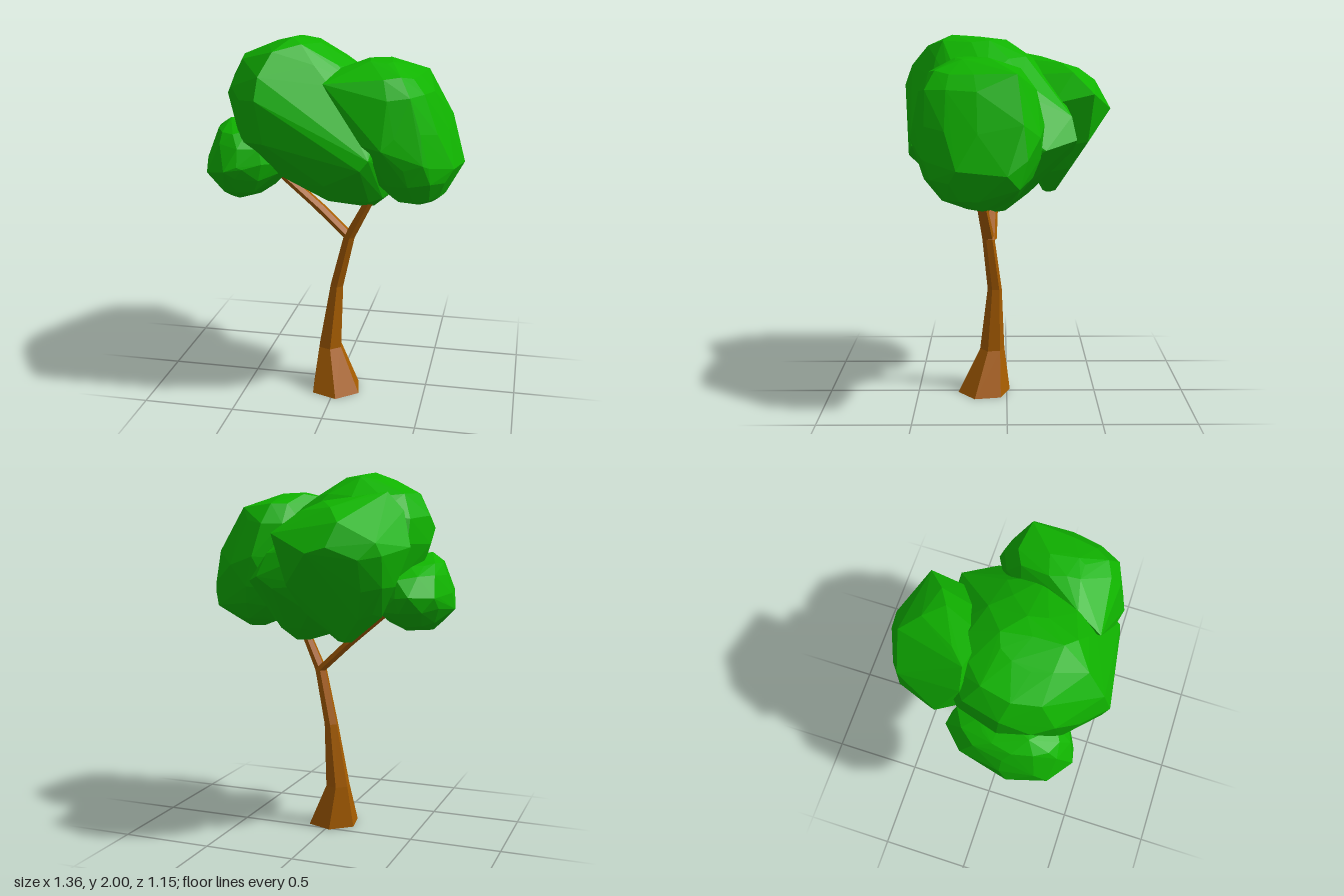
import * as THREE from 'three';
import { ConvexGeometry } from 'three/addons/geometries/ConvexGeometry.js';

const leaf = new THREE.MeshStandardMaterial({ color: 0x10b400, flatShading: true });
const bark = new THREE.MeshStandardMaterial({ color: 0xa65c00, flatShading: true, side: THREE.DoubleSide });

// Small seeded generator for the uneven facets
function seeded(seed) {
  return () => {
    seed = (seed * 16807) % 2147483647;
    return seed / 2147483647;
  };
}

// Faceted leaf clump: convex skin over level rings [y, xMin, xMax, zMin, zMax] and pointed corners [x, y, z]
function clump(name, seed, rings, corners) {
  const rand = seeded(seed), sides = 12;
  const points = corners.map((c) => new THREE.Vector3(...c));
  const bulge = (v) => Math.sign(v) * Math.pow(Math.abs(v), 0.88);
  for (const [y, x0, x1, z0, z1] of rings) {
    for (let i = 0; i < sides; i++) {
      const a = (i / sides) * Math.PI * 2;
      const k = i % 3 ? 1 - rand() * 0.08 : 1;
      points.push(new THREE.Vector3(
        (x0 + x1) / 2 + bulge(Math.cos(a)) * k * (x1 - x0) / 2,
        y + (rand() - 0.5) * 0.03,
        (z0 + z1) / 2 + bulge(Math.sin(a)) * k * (z1 - z0) / 2));
    }
  }
  const mesh = new THREE.Mesh(new ConvexGeometry(points), leaf);
  mesh.name = name;
  return mesh;
}

// Six-sided tapering limb through level rings given as [x, y, z, radius]
function limb(name, rings) {
  const sides = 6, pos = [], index = [];
  rings.forEach(([x, y, z, r], i) => {
    for (let j = 0; j < sides; j++) {
      const a = (j / sides) * Math.PI * 2 + 0.35;
      pos.push(x + Math.cos(a) * r, y, z + Math.sin(a) * r);
      if (i === rings.length - 1) continue;
      const p = i * sides + j, q = i * sides + (j + 1) % sides;
      index.push(p, p + sides, q, q, p + sides, q + sides);
    }
  });
  const geo = new THREE.BufferGeometry();
  geo.setAttribute('position', new THREE.Float32BufferAttribute(pos, 3));
  geo.setIndex(index);
  geo.computeVertexNormals();
  const mesh = new THREE.Mesh(geo, bark);
  mesh.name = name;
  return mesh;
}

export function createModel() {
  const tree = new THREE.Group();
  tree.name = 'tree';

  // Flared trunk that leans into the canopy, and a side branch
  tree.add(limb('trunk', [
    [0.002, 0, 0.128, 0.148], [-0.04, 0.24, 0.082, 0.07], [-0.005, 0.6, 0.067, 0.04],
    [0.07, 0.9, 0.1, 0.034], [0.185, 1.12, 0.135, 0.028], [0.23, 1.22, 0.14, 0.025],
  ]));
  tree.add(limb('branch', [
    [0.07, 0.9, 0.09, 0.036], [-0.1, 1.06, 0.085, 0.038], [-0.3, 1.23, 0.08, 0.036],
  ]));

  // Leaf clumps
  tree.add(clump('mainClump', 11, [
    [1.09, 0.1, 0.2, 0, 0.12],
    [1.16, -0.1, 0.3, -0.12, 0.3],
    [1.26, -0.34, 0.34, -0.25, 0.42],
    [1.43, -0.49, 0.36, -0.32, 0.49],
    [1.62, -0.56, 0.33, -0.32, 0.51],
    [1.77, -0.55, 0.22, -0.26, 0.47],
    [1.88, -0.48, 0.08, -0.15, 0.43],
    [1.96, -0.33, -0.06, 0, 0.38],
  ], [
    [-0.31, 1.72, 0.575], [-0.3, 1.83, 0.535], [-0.25, 1.94, 0.44], [-0.18, 2, 0.3], [-0.18, 1.99, 0.15],
    [0.24, 1.43, 0.5], [0.2, 1.38, 0.515], [-0.28, 1.5, 0.545],
    [-0.54, 1.7, 0.26], [-0.49, 1.75, 0.36], [-0.42, 1.7, 0.46], [-0.45, 1.88, 0.28], [-0.44, 1.47, 0.38],
    [0.25, 1.46, -0.365], [0.17, 1.4, -0.35], [0.2, 1.58, -0.34], [0.37, 1.42, -0.2], [0.17, 1.08, 0.06],
  ]));
  tree.add(clump('leftClump', 23, [
    [1.15, 0.4, 0.52, 0.05, 0.2],
    [1.19, 0.3, 0.59, -0.05, 0.33],
    [1.28, 0.22, 0.63, -0.13, 0.42],
    [1.38, 0.18, 0.63, -0.17, 0.45],
    [1.54, 0.12, 0.6, -0.18, 0.47],
    [1.73, 0.12, 0.52, -0.15, 0.45],
    [1.82, 0.14, 0.45, -0.07, 0.4],
    [1.87, 0.17, 0.33, 0.07, 0.28],
  ], [
    [0, 1.79, 0.435], [0.06, 1.85, 0.3], [0.2, 1.89, 0.2], [0.3, 1.88, 0.12], [0.47, 1.81, -0.05],
    [0.675, 1.33, 0], [0.62, 1.4, -0.1], [0.6, 1.57, -0.08], [0.63, 1.26, -0.06], [0.36, 1.55, -0.19],
    [0.5, 1.5, -0.165], [0.64, 1.35, 0.25], [0.5, 1.4, 0.43], [0.3, 1.48, 0.5], [0.2, 1.5, 0.48],
  ]));
  tree.add(clump('rightClump', 37, [
    [1.16, -0.56, -0.4, 0.05, 0.3],
    [1.2, -0.62, -0.32, -0.05, 0.38],
    [1.28, -0.67, -0.25, -0.15, 0.44],
    [1.36, -0.67, -0.22, -0.18, 0.46],
    [1.45, -0.64, -0.25, -0.15, 0.44],
    [1.52, -0.61, -0.35, -0.02, 0.39],
  ], [
    [-0.68, 1.27, 0.18], [-0.63, 1.35, -0.08], [-0.52, 1.36, -0.19], [-0.63, 1.3, 0.38],
    [-0.51, 1.33, 0.475], [-0.42, 1.34, 0.45], [-0.53, 1.57, 0.25], [-0.45, 1.55, 0.1],
  ]));
  tree.add(clump('backClump', 53, [
    [1.14, -0.25, -0.16, -0.28, -0.2],
    [1.27, -0.4, -0.02, -0.37, -0.12],
    [1.42, -0.48, 0.06, -0.46, -0.1],
    [1.58, -0.5, 0.1, -0.54, -0.08],
  ], [
    [0.12, 1.69, -0.465], [0, 1.8, -0.36], [-0.1, 1.85, -0.3], [-0.175, 1.82, -0.4], [-0.385, 1.895, -0.12],
    [-0.3, 1.88, -0.2], [-0.2, 1.87, -0.08], [-0.04, 1.79, -0.18], [-0.47, 1.8, -0.11], [-0.54, 1.62, -0.22],
    [-0.43, 1.65, -0.45], [-0.11, 1.6, -0.575], [-0.21, 1.63, -0.56], [-0.25, 1.75, -0.5],
    [0.11, 1.64, -0.25], [0.05, 1.43, -0.44], [-0.01, 1.28, -0.34], [-0.2, 1.12, -0.25],
  ]));
  return tree;
}
